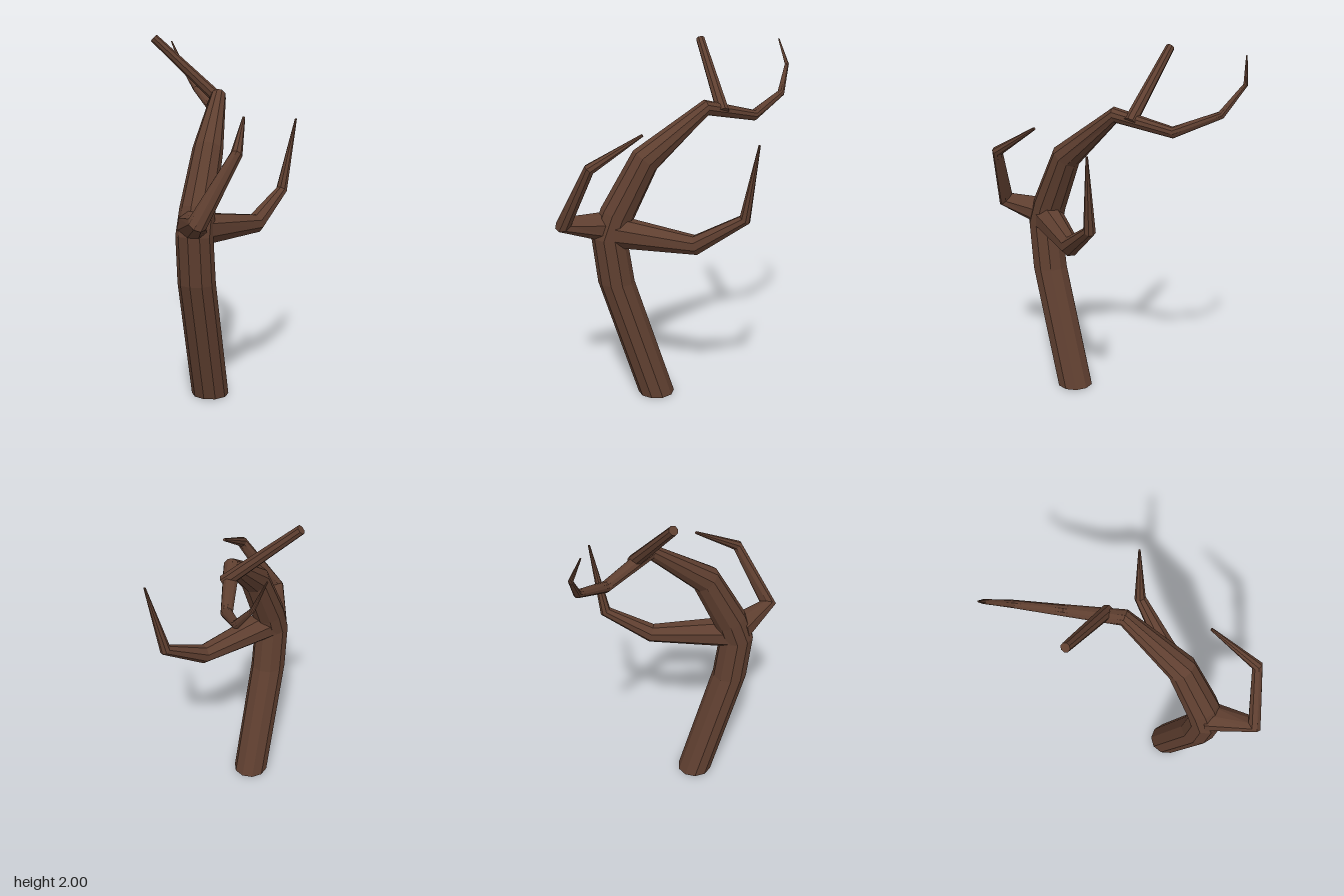
import * as THREE from 'three';

const bark = new THREE.MeshStandardMaterial({ color: 0x5f3f30, flatShading: true });
bark.name = 'bark';

// Faceted limb: each node is [x, y, z, radius]; rings are mitred at the bends.
function limb(name, nodes, sides, firstNormals = []) {
  const pts = nodes.map(n => new THREE.Vector3(n[0], n[1], n[2]));
  const last = pts.length - 1;
  const dir = i => pts[i + 1].clone().sub(pts[i]).normalize();
  const pos = [], index = [];
  const u = new THREE.Vector3(1, 0, 0.01);
  pts.forEach((p, i) => {
    const t = firstNormals[i] ? firstNormals[i].clone()
      : i === 0 ? dir(0)
      : i === last ? dir(last - 1)
      : dir(i - 1).add(dir(i)).normalize();
    u.addScaledVector(t, -u.dot(t)).normalize();
    const v = t.clone().cross(u);
    for (let j = 0; j < sides; j++) {
      const a = (j + 0.5) / sides * Math.PI * 2;
      const q = p.clone()
        .addScaledVector(u, Math.cos(a) * nodes[i][3])
        .addScaledVector(v, Math.sin(a) * nodes[i][3]);
      pos.push(q.x, q.y, q.z);
    }
  });
  for (let i = 0; i < last; i++) {
    for (let j = 0; j < sides; j++) {
      const k = (j + 1) % sides;
      const a = i * sides + j, b = i * sides + k;
      index.push(a, b, b + sides, a, b + sides, a + sides);
    }
  }
  // end caps
  const top = last * sides;
  for (let j = 1; j < sides - 1; j++) {
    index.push(0, j + 1, j, top, top + j, top + j + 1);
  }
  const g = new THREE.BufferGeometry();
  g.setAttribute('position', new THREE.Float32BufferAttribute(pos, 3));
  g.setIndex(index);
  g.computeVertexNormals();
  const mesh = new THREE.Mesh(g, bark);
  mesh.name = name;
  return mesh;
}

export function createModel() {
  const group = new THREE.Group();
  group.name = 'bareTree';
  const up = new THREE.Vector3(0, 1, 0);

  // leaning trunk that tapers into the long upper bough
  group.add(limb('trunk', [
    [0.09, 0, 0.135, 0.103],
    [0.09, 0.69, 0.355, 0.102],
    [0.09, 0.95, 0.39, 0.1],
    [0.09, 1.08, 0.345, 0.096],
    [0.093, 1.385, 0.187, 0.083],
    [0.037, 1.655, -0.15, 0.044],
    [-0.105, 1.583, -0.44, 0.031],
    [-0.268, 1.68, -0.625, 0.021],
    [-0.387, 1.83, -0.68, 0.012],
    [-0.438, 1.972, -0.638, 0.004],
  ], 10, [up, up]));

  // straight stub on the upper bough
  group.add(limb('upperStub', [
    [0.02, 1.625, -0.247, 0.036],
    [-0.36, 1.983, -0.165, 0.025],
  ], 8));

  // branch reaching to the back left
  group.add(limb('backBranch', [
    [0.095, 0.985, 0.36, 0.092],
    [0.287, 0.955, -0.07, 0.055],
    [0.37, 1.115, -0.32, 0.033],
    [0.435, 1.525, -0.376, 0.006],
  ], 8));

  // branch reaching to the front and hooking back
  group.add(limb('frontBranch', [
    [0.085, 1.01, 0.4, 0.085],
    [0.195, 1.063, 0.635, 0.05],
    [0.35, 1.4, 0.49, 0.031],
    [0.3, 1.563, 0.21, 0.008],
  ], 8));

  return group;
}
